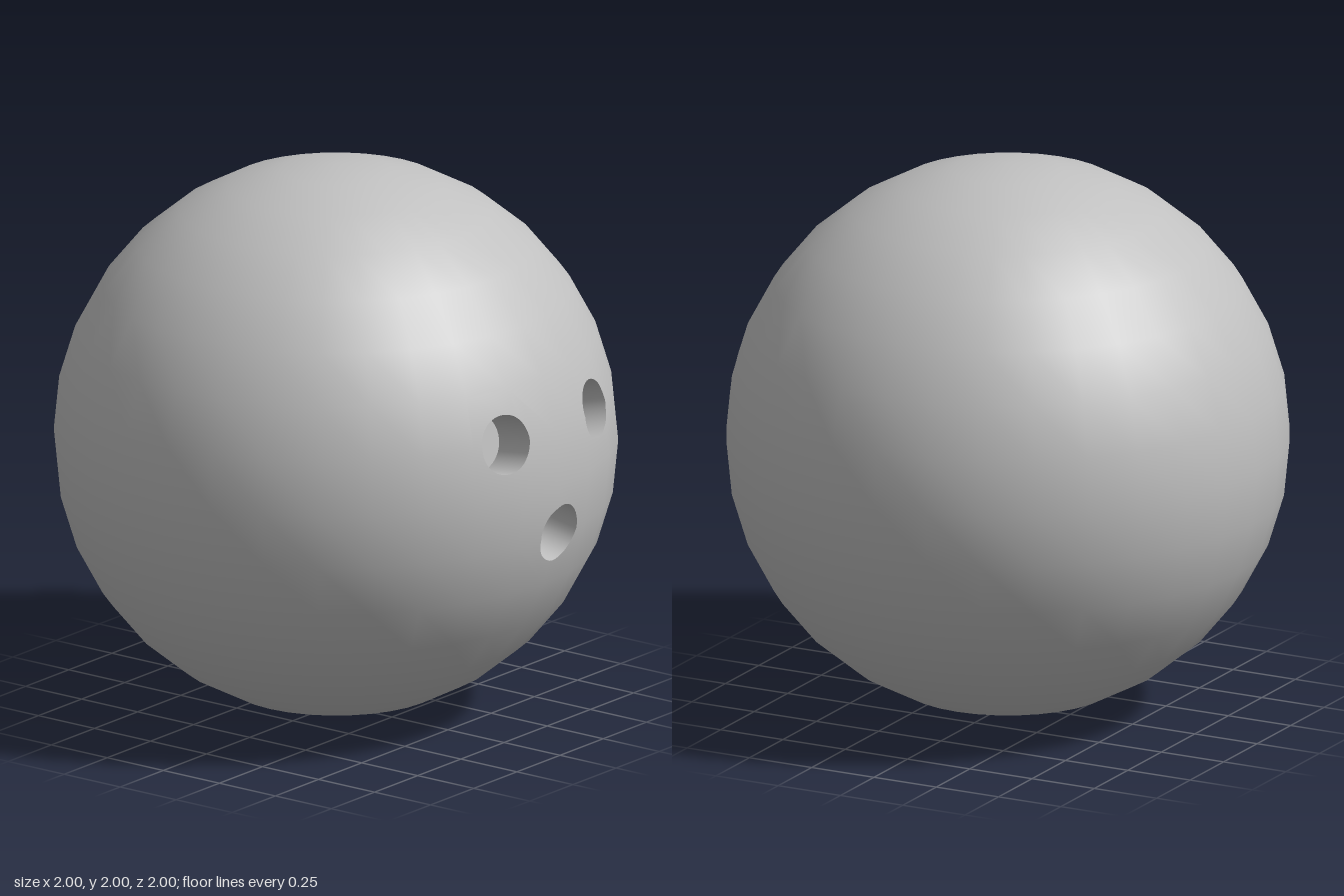
import * as THREE from 'three';

const HOLE_RADIUS = 0.107;
const HOLE_FLOOR = 0.81; // distance of each hole floor from the ball centre
const HOLE_SIDES = 32;

// Axis and side planes of a round hole aimed at the ball centre
function makeHole(name, x, y) {
  const axis = new THREE.Vector3(x, y, Math.sqrt(1 - x * x - y * y));
  const u = new THREE.Vector3(0, 1, 0).cross(axis).normalize();
  const v = axis.clone().cross(u);
  const planes = [];
  for (let i = 0; i < HOLE_SIDES; i++) {
    const a = (i / HOLE_SIDES) * Math.PI * 2;
    const normal = u.clone().multiplyScalar(Math.cos(a)).addScaledVector(v, Math.sin(a));
    planes.push(new THREE.Plane(normal, -HOLE_RADIUS * Math.cos(Math.PI / HOLE_SIDES)));
  }
  return { name, axis, planes, pieces: [] };
}

// Cut a convex polygon by a plane into the parts behind and in front of it
function split(poly, plane) {
  const inside = [], outside = [];
  poly.forEach((a, i) => {
    const b = poly[(i + 1) % poly.length];
    const da = plane.distanceToPoint(a), db = plane.distanceToPoint(b);
    if (da <= 0) inside.push(a);
    if (da >= 0) outside.push(a);
    if (da * db < 0) {
      const cut = a.clone().lerp(b, da / (da - db));
      inside.push(cut);
      outside.push(cut);
    }
  });
  return { inside, outside };
}

// Remove the hole from one polygon, remembering the removed piece
function drill(poly, hole) {
  if (poly.some((p) => p.dot(hole.axis) < 0.5)) return [poly];
  const kept = [];
  let rest = poly;
  for (const plane of hole.planes) {
    const { inside, outside } = split(rest, plane);
    if (inside.length < 3) return [poly];
    if (outside.length > 2) kept.push(outside);
    rest = inside;
  }
  hole.pieces.push(rest);
  return kept;
}

// Fan convex polygons into a geometry, with normals given by a rule
function fromPolygons(polys, normalAt) {
  const pos = [], nor = [];
  for (const poly of polys) {
    for (let i = 1; i < poly.length - 1; i++) {
      for (const p of [poly[0], poly[i], poly[i + 1]]) {
        pos.push(p.x, p.y, p.z);
        nor.push(...normalAt(p).toArray());
      }
    }
  }
  const geo = new THREE.BufferGeometry();
  geo.setAttribute('position', new THREE.Float32BufferAttribute(pos, 3));
  geo.setAttribute('normal', new THREE.Float32BufferAttribute(nor, 3));
  return geo;
}

export function createModel() {
  const model = new THREE.Group();
  model.name = 'bowlingBall';
  const grey = new THREE.MeshStandardMaterial({ color: 0xc0c0c0 });
  grey.name = 'ball grey';
  const add = (name, geo) => {
    const mesh = new THREE.Mesh(geo, grey);
    mesh.name = name;
    mesh.position.y = 1;
    model.add(mesh);
  };

  const holes = [
    makeHole('rightFingerHole', -0.239, 0.197),
    makeHole('leftFingerHole', 0.301, 0.197),
    makeHole('thumbHole', 0.032, -0.191),
  ];

  // Ball shell with the three holes drilled out
  const pos = new THREE.SphereGeometry(1, 32, 16).toNonIndexed().attributes.position;
  let shell = [];
  for (let i = 0; i < pos.count; i += 3) {
    shell.push([0, 1, 2].map((k) => new THREE.Vector3().fromBufferAttribute(pos, i + k)));
  }
  for (const hole of holes) shell = shell.flatMap((poly) => drill(poly, hole));
  add('ball', fromPolygons(shell, (p) => p.clone().normalize()));

  // Walls and flat floor of each hole
  for (const { name, axis, planes, pieces } of holes) {
    const sink = (p) => p.clone().addScaledVector(axis, HOLE_FLOOR - p.dot(axis));
    const walls = [];
    for (const piece of pieces) {
      piece.forEach((a, i) => {
        const b = piece[(i + 1) % piece.length];
        const onRim = planes.some((pl) =>
          Math.abs(pl.distanceToPoint(a)) < 1e-7 && Math.abs(pl.distanceToPoint(b)) < 1e-7);
        if (onRim) walls.push([b, sink(b), sink(a), a]);
      });
    }
    add(name + 'Wall', fromPolygons(walls, (p) =>
      axis.clone().multiplyScalar(p.dot(axis)).sub(p).normalize()));
    add(name + 'Floor', fromPolygons(pieces.map((piece) => piece.map(sink)), () => axis));
  }
  return model;
}
